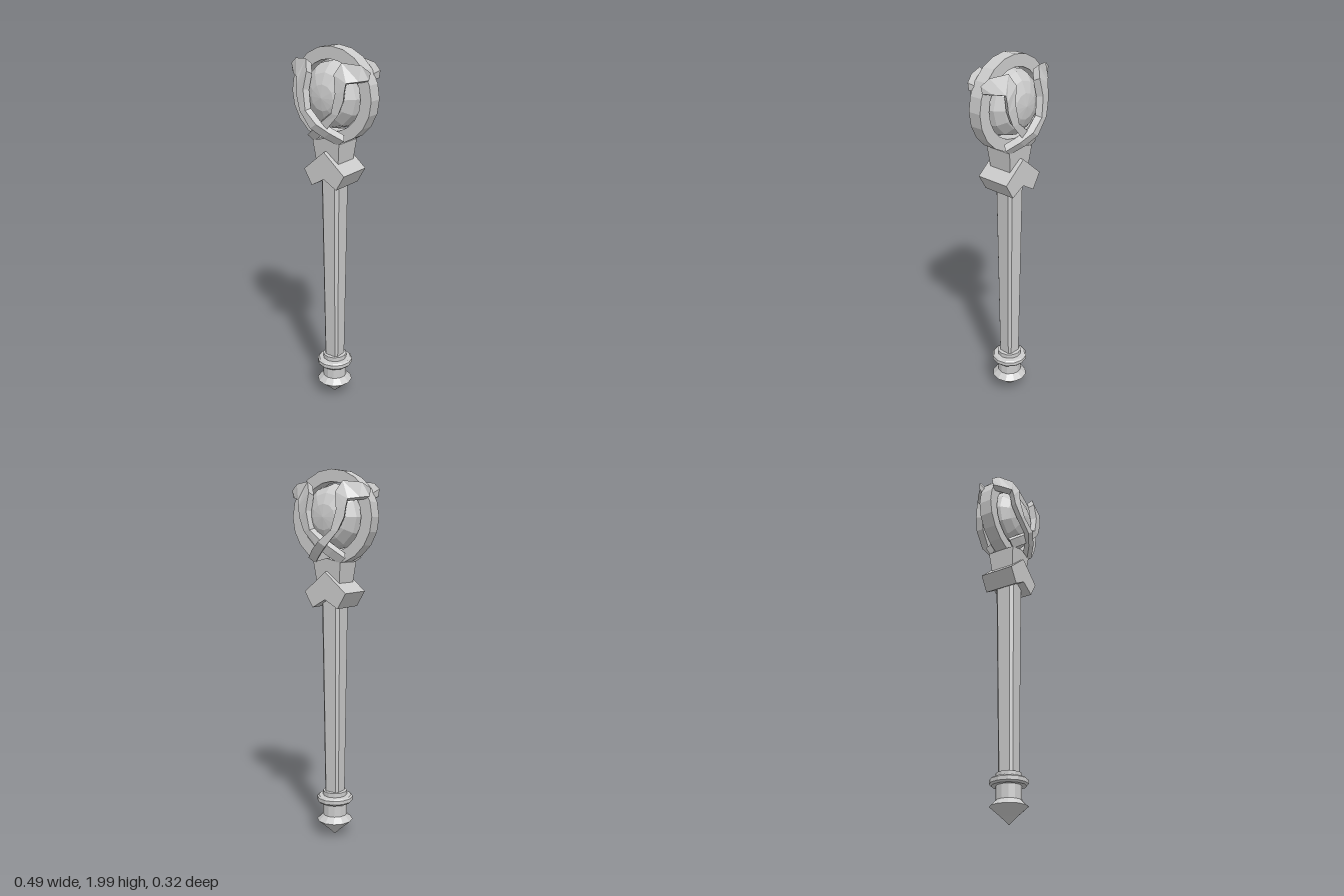
import * as THREE from 'three';

const material = new THREE.MeshStandardMaterial({ color: 0xcccccc, flatShading: true });
const CENTER_Y = 1.755; // middle of the orb and ring

function part(name, geometry) {
  const flat = geometry.index ? geometry.toNonIndexed() : geometry;
  flat.computeVertexNormals();
  const mesh = new THREE.Mesh(flat, material);
  mesh.name = name;
  return mesh;
}

// Skin a list of equal-sized cross-sections and cap both ends
function loft(rings) {
  const n = rings[0].length;
  const index = [];
  for (let r = 0; r < rings.length - 1; r++) {
    for (let i = 0; i < n; i++) {
      const a = r * n + i, b = r * n + (i + 1) % n;
      index.push(a, b, b + n, a, b + n, a + n);
    }
  }
  const last = (rings.length - 1) * n;
  for (let i = 1; i < n - 1; i++) {
    index.push(0, i + 1, i);
    index.push(last, last + i, last + i + 1);
  }
  const geometry = new THREE.BufferGeometry();
  geometry.setAttribute('position', new THREE.Float32BufferAttribute(rings.flat().flatMap(p => p.toArray()), 3));
  geometry.setIndex(index);
  return geometry;
}

// Flat outline in x/y, extruded evenly to both sides of z = 0
function slab(points, halfDepth) {
  const shape = new THREE.Shape(points.map(p => new THREE.Vector2(...p)));
  return new THREE.ExtrudeGeometry(shape, { depth: halfDepth * 2, bevelEnabled: false }).translate(0, 0, -halfDepth);
}

const lathe = (points, sides) => new THREE.LatheGeometry(points.map(p => new THREE.Vector2(...p)), sides);

// Claw stations: inner edge x, y, outer edge x, y, inner z, outer z, extra z on the overlapping claw
const clawStations = [
  [0.243, 1.895, 0.235, 1.857, 0.043, 0.045, 0],
  [0.2, 1.927, 0.2, 1.852, 0.06, 0.08, 0],
  [0.108, 1.936, 0.152, 1.845, 0.095, 0.118, 0],
  [0.082, 1.88, 0.147, 1.81, 0.122, 0.123, 0.003],
  [0.095, 1.79, 0.141, 1.755, 0.13, 0.125, 0.008],
  [0.072, 1.69, 0.112, 1.685, 0.132, 0.128, 0.02],
  [0, 1.632, 0.04, 1.605, 0.128, 0.124, 0.032],
  [-0.06, 1.588, -0.018, 1.558, 0.108, 0.102, 0.02],
  [-0.115, 1.545, -0.073, 1.517, 0.08, 0.075, 0],
];

function claw(sideX, sideZ) {
  const inward = p => {
    const n = new THREE.Vector3(p.x / 0.0625, (p.y - CENTER_Y) / 0.0625, p.z / 0.03).normalize();
    return p.clone().addScaledVector(n, -0.037);
  };
  const rings = clawStations.map(([ax, ay, bx, by, az, bz, lift]) => {
    const extra = sideX < 0 ? lift : 0;
    const a = new THREE.Vector3(ax, ay, az + extra);
    const b = new THREE.Vector3(bx, by, bz + extra);
    const ring = [a, inward(a), inward(b), b];
    ring.forEach(p => p.set(p.x * sideX, p.y, p.z * sideZ));
    return sideX * sideZ < 0 ? ring.reverse() : ring;
  });
  return loft(rings);
}

// Square with narrow chamfers, counter-clockwise from above
function chamferedSquare(y, half, flat) {
  return [[half, flat], [half, -flat], [flat, -half], [-flat, -half],
    [-half, -flat], [-half, flat], [-flat, half], [flat, half]]
    .map(([x, z]) => new THREE.Vector3(x, y, z));
}

export function createModel() {
  const model = new THREE.Group();
  model.name = 'scepter';

  // Pommel with pointed end and collars
  model.add(part('pommel', lathe([
    [0, 0.008], [0.038, 0.045], [0.098, 0.097], [0.066, 0.128], [0.066, 0.2],
    [0.09, 0.2], [0.099, 0.21], [0.099, 0.23], [0.09, 0.238],
    [0.066, 0.24], [0.066, 0.264], [0, 0.266],
  ], 12)));

  // Tapered shaft
  model.add(part('shaft', loft([chamferedSquare(0.25, 0.043, 0.031), chamferedSquare(1.36, 0.056, 0.04)])));

  // Chevron collar
  model.add(part('chevronCollar', slab([
    [0, 1.475], [-0.127, 1.367], [-0.078, 1.285], [0, 1.33], [0.078, 1.285], [0.127, 1.367],
  ], 0.097)));

  // Neck block, flaring toward the top
  const neck = slab([[-0.066, 1.38], [0.066, 1.38], [0.083, 1.523], [0, 1.545], [-0.083, 1.523]], 1);
  const pos = neck.attributes.position;
  for (let i = 0; i < pos.count; i++) {
    pos.setZ(i, pos.getZ(i) * THREE.MathUtils.mapLinear(pos.getY(i), 1.38, 1.54, 0.064, 0.081));
  }
  model.add(part('neck', neck));

  // Upright ring around the orb
  const ring = lathe([[0.245, -0.037], [0.245, 0.037], [0.182, 0.037], [0.182, -0.037], [0.245, -0.037]], 20);
  model.add(part('ring', ring.rotateX(Math.PI / 2).translate(0, CENTER_Y, 0)));

  // Flattened orb with its poles facing front and back
  const orb = new THREE.SphereGeometry(0.174, 12, 8).rotateX(Math.PI / 2).scale(1, 1, 0.67);
  model.add(part('orb', orb.translate(0, CENTER_Y, 0)));

  // Crossing claws, one pair on each face
  for (const sideZ of [1, -1]) {
    for (const sideX of [1, -1]) {
      model.add(part(`${sideZ > 0 ? 'front' : 'back'}${sideX > 0 ? 'Left' : 'Right'}Claw`, claw(sideX, sideZ)));
    }
  }
  return model;
}
